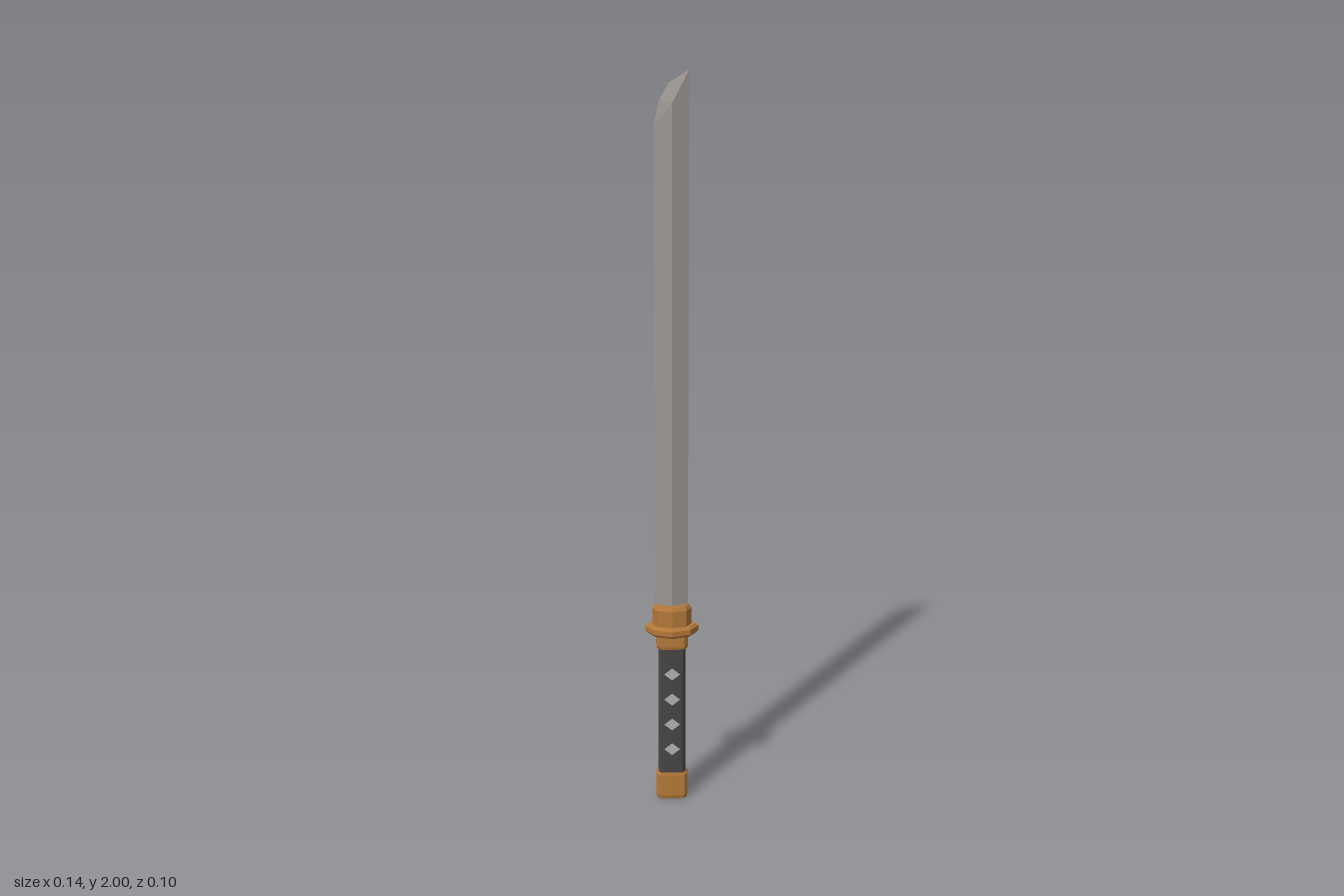
import * as THREE from 'three';

const mat = (name, color, side = THREE.FrontSide) => {
  const m = new THREE.MeshStandardMaterial({ color, side });
  m.name = name;
  return m;
};

function meshFromTriangles(name, corners, material) {
  const g = new THREE.BufferGeometry();
  g.setAttribute('position', new THREE.Float32BufferAttribute(corners.flat(), 3));
  g.computeVertexNormals(); // unshared corners give flat facets
  const mesh = new THREE.Mesh(g, material);
  mesh.name = name;
  return mesh;
}

// Mirrors one quarter of a section (x, z) into a full loop, counter-clockwise from above
function mirrorSection(quarter) {
  const pts = [];
  for (const sx of [1, -1]) for (const sz of [1, -1]) {
    for (const [x, z] of quarter) {
      const p = [x * sx, z * sz];
      if (!pts.some(q => Math.hypot(q[0] - p[0], q[1] - p[1]) < 1e-5)) pts.push(p);
    }
  }
  return pts.sort((a, b) => Math.atan2(-a[1], a[0]) - Math.atan2(-b[1], b[0]));
}

// Stacks scaled copies of a section at levels [y, scale] and closes both ends
function loft(name, quarter, levels, material) {
  const section = mirrorSection(quarter);
  const rings = levels.map(([y, s]) => section.map(([x, z]) => [x * s, y, z * s]));
  const tris = [];
  const n = section.length;
  const low = rings[0], high = rings[rings.length - 1];
  for (let i = 0; i < n; i++) {
    const j = (i + 1) % n;
    for (let k = 0; k + 1 < rings.length; k++) {
      const a = rings[k], b = rings[k + 1];
      tris.push(a[i], a[j], b[j], a[i], b[j], b[i]);
    }
    tris.push([0, high[0][1], 0], high[i], high[j]);
    tris.push([0, low[0][1], 0], low[j], low[i]);
  }
  return meshFromTriangles(name, tris.flat(), material);
}

// Diamond-section blade with a curved cutting edge at the point
function makeBlade(material) {
  const base = 0.565, t = 0.018;
  const tip = [0.043, 2, 0], spine = [0.043, base, 0];
  const edge = [[-0.047, base, 0], [-0.047, 1.86, 0], [-0.033, 1.925, 0], [-0.008, 1.968, 0], tip];
  const tris = [];
  for (const s of [1, -1]) {
    const r0 = [0, base, t * s], r1 = [0, 1.92, t * s];
    const faces = [[edge[0], r0, r1], [r0, spine, tip], [r0, tip, r1]];
    for (let i = 0; i + 1 < edge.length; i++) faces.push([edge[i], r1, edge[i + 1]]);
    for (const f of faces) tris.push(...(s > 0 ? f : f.reverse()));
  }
  return meshFromTriangles('blade', tris.flat(), material);
}

export function createModel() {
  const steel = mat('blade steel', 0x9c9792);
  const bronze = mat('bronze', 0xb5793a);
  const wrap = mat('dark grip', 0x484644);
  const pale = mat('pale inlay', 0xb4b2b0, THREE.DoubleSide);

  const group = new THREE.Group();
  group.name = 'sword';

  const gripSection = [[0.037, 0.011], [0.029, 0.02], [0, 0.021]];
  const capSection = [[0.043, 0.012], [0.034, 0.022], [0, 0.024]];

  group.add(
    makeBlade(steel),
    loft('pommel', capSection, [[0, 0.9], [0.01, 1], [0.072, 1], [0.08, 0.92]], bronze),
    loft('grip', gripSection, [[0.07, 1], [0.46, 1]], wrap),
    loft('lowerCollar', capSection, [[0.45, 0.92], [0.458, 1], [0.497, 1]], bronze),
    loft('guard', [[0.072, 0], [0.05, 0.034], [0, 0.05]],
      [[0.492, 0.9], [0.499, 1], [0.513, 1], [0.52, 0.9]], bronze),
    loft('upperCollar', [[0.053, 0], [0.039, 0.027], [0, 0.037]],
      [[0.515, 1], [0.566, 1], [0.576, 0.86]], bronze),
  );

  // Small diamond inlays on both faces of the grip
  const shape = new THREE.Shape([[0.022, 0], [0, 0.018], [-0.022, 0], [0, -0.018]]
    .map(([x, y]) => new THREE.Vector2(x, y)));
  const inlay = new THREE.ShapeGeometry(shape);
  for (const side of [1, -1]) {
    for (let i = 0; i < 4; i++) {
      const m = new THREE.Mesh(inlay, pale);
      m.name = 'gripInlay';
      m.position.set(0, 0.152 + i * 0.075, side * 0.0215);
      if (side < 0) m.rotation.y = Math.PI;
      group.add(m);
    }
  }
  return group;
}
